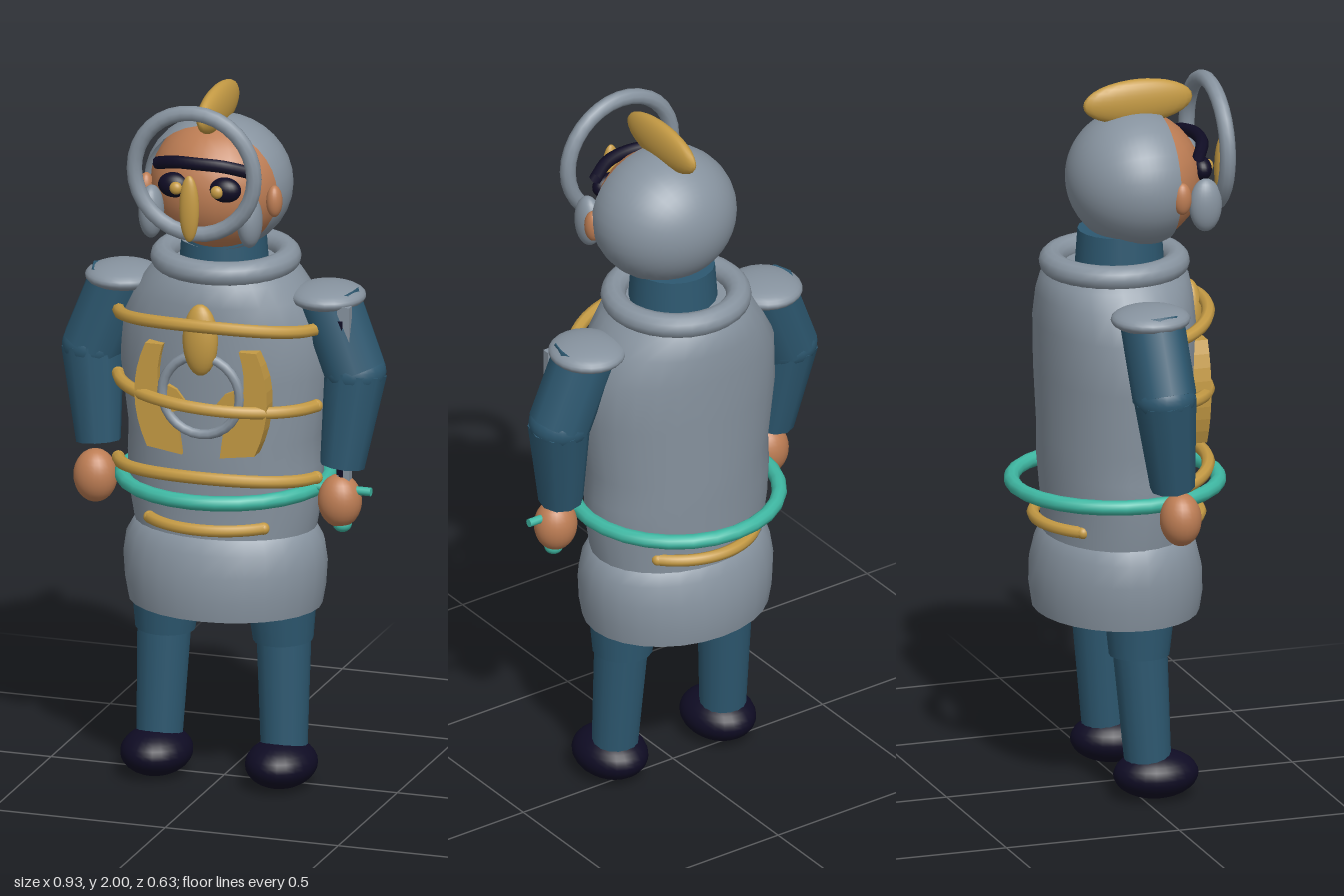
import * as THREE from 'three';

const mat = (name, color) => {
  const m = new THREE.MeshStandardMaterial({ color, side: THREE.DoubleSide });
  m.name = name;
  return m;
};

export function createModel() {
  const model = new THREE.Group();
  const steel = mat('steel', 0x87939f), gold = mat('gold', 0xc49a44), cloth = mat('blue cloth', 0x2d5870);
  const skin = mat('skin', 0xbd7d54), dark = mat('dark navy', 0x0f0c24), teal = mat('teal', 0x3fb8a3);
  const V = (x, y, z) => new THREE.Vector3(x, y, z);

  const add = (name, geo, material, p = [0, 0, 0]) => {
    const mesh = new THREE.Mesh(geo, material);
    mesh.name = name;
    mesh.position.set(...p);
    model.add(mesh);
    return mesh;
  };
  const ball = (name, material, p, r) =>
    add(name, new THREE.SphereGeometry(1, 24, 16).scale(...r), material, p);

  // Tapered limb between two points
  const limb = (name, material, a, b, ra, rb, sides = 10) => {
    const from = V(...a), to = V(...b), d = to.clone().sub(from);
    const mesh = add(name, new THREE.CylinderGeometry(rb, ra, d.length(), sides), material);
    mesh.position.copy(from).addScaledVector(d, 0.5);
    mesh.quaternion.setFromUnitVectors(V(0, 1, 0), d.normalize());
    return mesh;
  };

  // Elliptical loft through rows of [y, rx, rz], closed at both ends
  const loft = (name, material, rows, z) => {
    const n = 28, pos = [], idx = [];
    rows.forEach(([y, rx, rz]) => {
      for (let i = 0; i < n; i++) {
        const a = (i / n) * Math.PI * 2;
        pos.push(rx * Math.sin(a), y, rz * Math.cos(a));
      }
    });
    for (let r = 0; r < rows.length - 1; r++)
      for (let i = 0; i < n; i++) {
        const a = r * n + i, b = r * n + (i + 1) % n;
        idx.push(a, b, b + n, a, b + n, a + n);
      }
    const g = new THREE.BufferGeometry();
    g.setAttribute('position', new THREE.Float32BufferAttribute(pos, 3));
    g.setIndex(idx);
    g.computeVertexNormals();
    add(name, g, material, [0, 0, z]);
    [rows[0], rows[rows.length - 1]].forEach(([y, rx, rz], k) => {
      const cap = new THREE.CircleGeometry(1, n).rotateX(k ? -Math.PI / 2 : Math.PI / 2).scale(rx, 1, rz);
      add(name + 'Cap', cap, material, [0, y, z]);
    });
  };

  // Band around the body: yAt(s) gives height for s = sin(angle) from the front
  const band = (name, material, rx, rz, half, tube, yAt, back = 1) => {
    const pts = [];
    for (let i = 0; i <= 12; i++) {
      const a = half * (i / 6 - 1);
      pts.push(V(rx * Math.sin(a), yAt(Math.sin(a)), back * rz * Math.cos(a)));
    }
    add(name, new THREE.TubeGeometry(new THREE.CatmullRomCurve3(pts), 28, tube, 8), material);
    [pts[0], pts[12]].forEach(p => ball(name + 'End', material, p.toArray(), [tube, tube, tube]));
  };

  // Breastplate, skirt, collar and neck
  loft('torso', steel, [[0.7, 0.25, 0.195], [0.82, 0.272, 0.195], [0.92, 0.275, 0.205], [1.0, 0.272, 0.205],
    [1.18, 0.295, 0.212], [1.32, 0.29, 0.215], [1.4, 0.248, 0.212], [1.45, 0.21, 0.203], [1.48, 0.18, 0.18]], -0.015);
  loft('skirt', steel, [[0.505, 0.27, 0.225], [0.56, 0.28, 0.233], [0.63, 0.285, 0.23], [0.69, 0.277, 0.215],
    [0.73, 0.255, 0.195], [0.745, 0.23, 0.17]], -0.012);
  add('collar', new THREE.TorusGeometry(0.172, 0.035, 12, 32).rotateX(Math.PI / 2), steel, [0, 1.488, -0.015]);
  add('neck', new THREE.CylinderGeometry(0.115, 0.125, 0.14, 20), cloth, [0, 1.51, 0]);

  // Gold bands and teal belt
  band('upperBand', gold, 0.295, 0.236, 1.32, 0.018, s => 1.36 - 0.035 * s * s);
  band('middleBand', gold, 0.295, 0.236, 1.32, 0.018, s => 1.125 - 0.018 * s);
  band('lowerBand', gold, 0.295, 0.236, 1.32, 0.018, s => 0.925 - 0.025 * s * s);
  band('frontHipBand', gold, 0.225, 0.22, 0.82, 0.017, () => 0.77);
  band('backHipBand', gold, 0.225, 0.238, 0.82, 0.017, () => 0.77, -1);
  add('belt', new THREE.TorusGeometry(0.284, 0.021, 10, 28).rotateX(Math.PI / 2), teal, [0, 0.865, -0.013]);

  // Chest emblem: two crescents, a ring with inner points and a boss
  for (const s of [-1, 1]) {
    const c = new THREE.Shape();
    c.moveTo(s * 0.11, 0.135);
    c.lineTo(s * 0.16, 0.135);
    c.quadraticCurveTo(s * 0.225, -0.01, s * 0.155, -0.16);
    c.lineTo(s * 0.055, -0.175);
    c.lineTo(s * 0.065, -0.1);
    c.quadraticCurveTo(s * 0.155, -0.01, s * 0.11, 0.135);
    add('chestCrescent', new THREE.ExtrudeGeometry(c, { depth: 0.05, bevelEnabled: false, curveSegments: 8 }),
      gold, [0, 1.15, 0.15]);
    const t = new THREE.Shape([[0.03, -0.04], [0.1, -0.06], [0.095, 0.02], [0.07, 0.01]]
      .map(([x, y]) => new THREE.Vector2(s * x, y)));
    add('chestInnerPoint', new THREE.ExtrudeGeometry(t, { depth: 0.04, bevelEnabled: false }), gold, [0, 1.15, 0.161]);
  }
  add('chestRing', new THREE.TorusGeometry(0.112, 0.014, 8, 28), steel, [0, 1.15, 0.198]);
  ball('chestBoss', gold, [0, 1.31, 0.202], [0.05, 0.102, 0.035]);

  // Head and helmet shell, open at the face
  ball('head', skin, [0, 1.72, 0.042], [0.188, 0.184, 0.185]);
  add('helmet', new THREE.SphereGeometry(1, 32, 20, 0, Math.PI * 2, 0, 1.94).rotateX(-Math.PI / 2)
    .scale(0.206, 0.19, 0.19), steel, [0, 1.72, 0.045]);
  ball('crest', gold, [0, 1.935, 0.053], [0.031, 0.063, 0.158]);
  add('visorRing', new THREE.TorusGeometry(0.173, 0.022, 10, 32), steel, [0, 1.803, 0.254]);
  ball('nose', gold, [0, 1.715, 0.296], [0.028, 0.095, 0.02]);
  const brow = new THREE.CatmullRomCurve3([V(-0.13, 1.8, 0.185), V(-0.07, 1.818, 0.215), V(0, 1.822, 0.225),
    V(0.07, 1.818, 0.215), V(0.13, 1.8, 0.185)]);
  add('brow', new THREE.TubeGeometry(brow, 20, 0.018, 8), dark);

  for (const s of [-1, 1]) {
    // Face details
    ball('eye', dark, [s * 0.074, 1.75, 0.208], [0.045, 0.035, 0.03]);
    ball('pupil', gold, [s * 0.059, 1.75, 0.236], [0.018, 0.018, 0.014]);
    ball('ear', skin, [s * 0.185, 1.702, 0.118], [0.022, 0.045, 0.026]);
    ball('cheekGuard', steel, [s * 0.142, 1.665, 0.2], [0.034, 0.075, 0.046]);

    // Shoulder, arm and hand
    ball('shoulderPad', steel, [s * 0.295, 1.405, -0.012], [0.105, 0.036, 0.11]);
    limb('upperArm', cloth, [s * 0.3, 1.4, -0.01], [s * 0.378, 1.2, 0], 0.088, 0.088);
    ball('elbow', cloth, [s * 0.378, 1.2, 0], [0.086, 0.07, 0.086]);
    limb('forearm', cloth, [s * 0.38, 1.2, 0], [s * 0.352, 0.935, 0.032], 0.087, 0.062);
    ball('hand', skin, [s * 0.353, 0.842, 0.055], [0.061, 0.075, 0.057]);

    // Leg and shoe
    limb('trouserCuff', cloth, [s * 0.165, 0.56, 0], [s * 0.17, 0.41, -0.002], 0.1, 0.083, 16);
    limb('lowerLeg', cloth, [s * 0.172, 0.45, -0.002], [s * 0.18, 0.1, 0.02], 0.076, 0.064, 16);
    ball('shoe', dark, [s * 0.18, 0.068, 0.043], [0.098, 0.067, 0.119]);
  }

  // Sword held in the left hand
  add('swordBlade', new THREE.BoxGeometry(0.035, 0.5, 0.022), steel, [0.367, 1.15, 0.058]);
  add('swordGroove', new THREE.BoxGeometry(0.014, 0.44, 0.006), dark, [0.358, 1.14, 0.07]);
  limb('swordGrip', dark, [0.36, 0.78, 0.055], [0.36, 0.97, 0.055], 0.016, 0.016);
  limb('swordGuard', teal, [0.28, 0.875, 0.055], [0.443, 0.875, 0.055], 0.012, 0.012);
  ball('swordPommel', teal, [0.36, 0.775, 0.055], [0.026, 0.022, 0.026]);
  return model;
}
